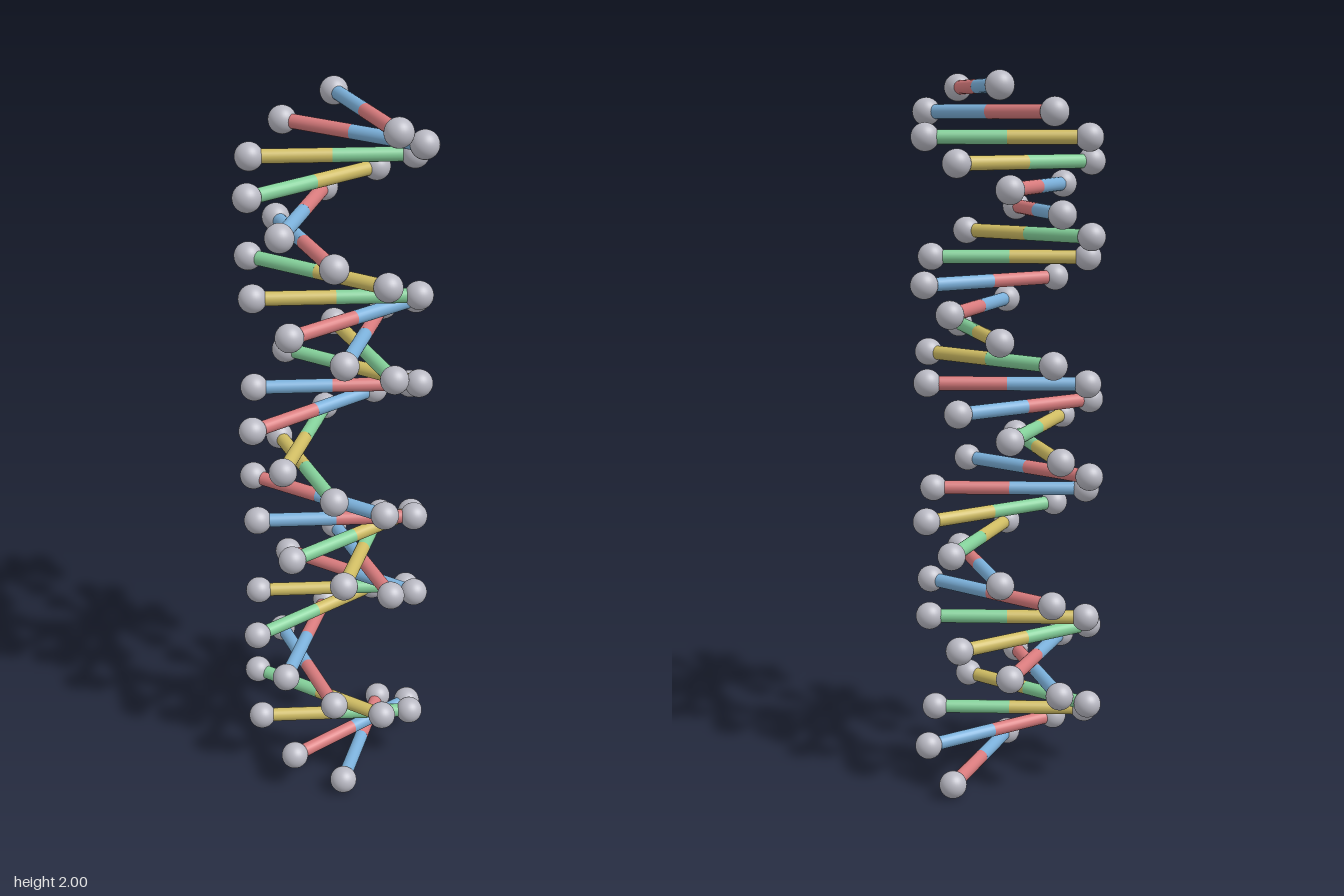
import * as THREE from 'three';

const RUNGS = 30, HELIX_R = 0.235, BALL_R = 0.0385, ROD_R = 0.0195;
const TWIST = Math.PI / 5;                            // ten rungs per turn
const GROOVE = THREE.MathUtils.degToRad(137.5);       // angle between the two strands

function material(name, color) {
  const m = new THREE.MeshStandardMaterial({ color });
  m.name = name;
  return m;
}

export function createModel() {
  const grey = material('ball grey', 0xb9b9c3);
  const red = material('base red', 0xd87b7d);
  const blue = material('base blue', 0x7bb0da);
  const green = material('base green', 0x84d09a);
  const yellow = material('base yellow', 0xcfbc63);
  // colours of the two halves, repeating every four rungs
  const pairs = [[blue, red], [red, blue], [yellow, green], [green, yellow]];

  const ball = new THREE.SphereGeometry(BALL_R, 32, 20);
  const up = new THREE.Vector3(0, 1, 0);
  const model = new THREE.Group();
  model.name = 'doubleHelix';

  // half of a rung, from a ball to the middle
  function halfRod(from, to, mat, name) {
    const dir = to.clone().sub(from);
    const rod = new THREE.Mesh(new THREE.CylinderGeometry(ROD_R, ROD_R, dir.length(), 24), mat);
    rod.position.copy(from).add(to).multiplyScalar(0.5);
    rod.quaternion.setFromUnitVectors(up, dir.normalize());
    rod.name = name;
    return rod;
  }

  for (let i = 0; i < RUNGS; i++) {
    const y = BALL_R + (2 - 2 * BALL_R) * i / (RUNGS - 1);
    const rung = new THREE.Group();
    rung.name = `rung${i + 1}`;
    const ends = [GROOVE, 0].map(offset => {
      const a = i * TWIST + offset;
      return new THREE.Vector3(HELIX_R * Math.cos(a), y, HELIX_R * Math.sin(a));
    });
    const middle = ends[0].clone().lerp(ends[1], 0.5);
    ends.forEach((end, k) => {
      const strand = k ? 'second' : 'first';
      const sphere = new THREE.Mesh(ball, grey);
      sphere.position.copy(end);
      sphere.name = `${strand}StrandBall`;
      rung.add(sphere, halfRod(end, middle, pairs[i % 4][k], `${strand}HalfRod`));
    });
    model.add(rung);
  }
  return model;
}
